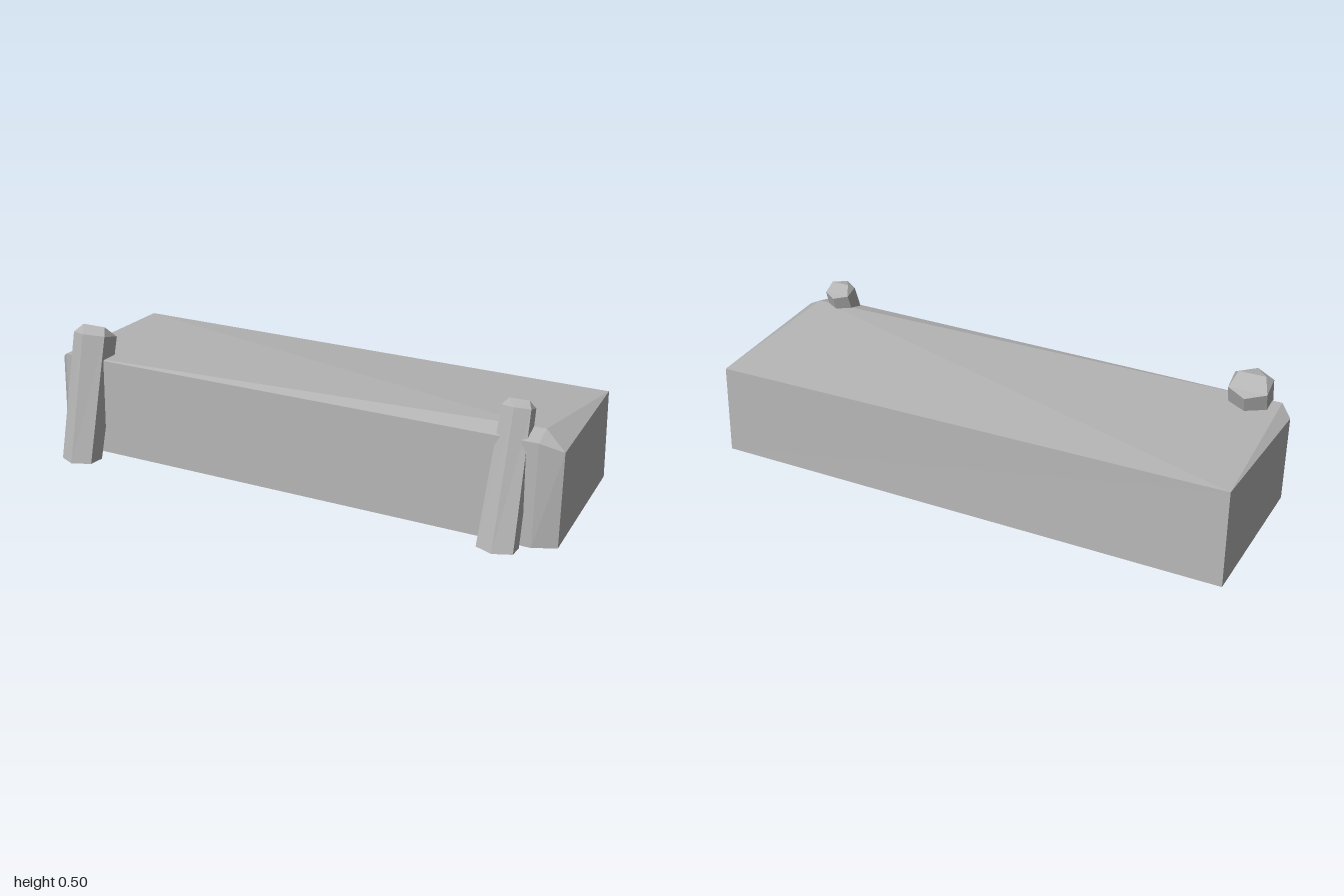
import * as THREE from 'three';

const stone = new THREE.MeshStandardMaterial({ color: 0xb4b4b4 });
stone.name = 'grey';

// Joins a bottom and a top ring (counter-clockwise from above) with walls,
// closes the base, and caps the top with the given polygons.
function loft(name, bottom, top, caps) {
  const pos = [];
  const polygon = (pts) => {
    for (let i = 1; i < pts.length - 1; i++) pos.push(...pts[0], ...pts[i], ...pts[i + 1]);
  };
  bottom.forEach((b, i) => {
    const j = (i + 1) % bottom.length;
    polygon([b, bottom[j], top[j], top[i]]);
  });
  polygon([...bottom].reverse());
  caps.forEach(polygon);
  const geometry = new THREE.BufferGeometry();
  geometry.setAttribute('position', new THREE.Float32BufferAttribute(pos, 3));
  geometry.computeVertexNormals();
  const mesh = new THREE.Mesh(geometry, stone);
  mesh.name = name;
  return mesh;
}

// Rough-cut block with chamfered front corners and an uneven top
function createBlock() {
  const y = 0.02;
  const bottom = [
    [0.92, y, 0.267], [1, y, 0.23], [0.985, y, -0.39],
    [-0.965, y, -0.382], [-1, y, 0.205], [-0.955, y, 0.25],
  ];
  const top = [
    [0.92, 0.39, 0.257], [1, 0.362, 0.228], [0.98, 0.362, -0.373],
    [-0.955, 0.38, -0.362], [-0.998, 0.358, 0.195], [-0.955, 0.388, 0.238],
  ];
  const [frontLeft, endLeft, backLeft, backRight, endRight, frontRight] = top;
  const peak = [0.92, 0.413, 0.18];
  return loft('block', bottom, top, [
    [frontLeft, endLeft, peak],
    [endLeft, backLeft, peak],
    [backLeft, backRight, peak],
    [backRight, frontRight, peak],
    [frontRight, frontLeft, peak],
    [backRight, endRight, frontRight],
  ]);
}

// Six-sided ring; front and back are [y, z] of the end corners
function hexRing(x, halfWidth, front, back) {
  const at = (side, t) => [
    x + side * halfWidth,
    THREE.MathUtils.lerp(front[0], back[0], t),
    THREE.MathUtils.lerp(front[1], back[1], t),
  ];
  return [at(0, 0), at(1, 0.25), at(1, 0.75), at(0, 1), at(-1, 0.75), at(-1, 0.25)];
}

// Leaning post with a ridged cap
function createPost(name, x, base, head) {
  const bottom = hexRing(x, base.halfWidth, base.front, base.back);
  const top = hexRing(x, head.halfWidth, head.front, head.back);
  const [front, fl, bl, back, br, fr] = top;
  const ridgeL = [x + head.halfWidth * 0.7, 0.503, 0.19];
  const ridgeR = [x - head.halfWidth * 0.7, 0.503, 0.19];
  return loft(name, bottom, top, [
    [front, fl, ridgeL, ridgeR, fr],
    [bl, back, br, ridgeR, ridgeL],
    [fl, bl, ridgeL],
    [br, fr, ridgeR],
  ]);
}

export function createModel() {
  const model = new THREE.Group();
  model.name = 'blockWithPosts';
  model.add(
    createBlock(),
    createPost('rightPost', -0.85,
      { halfWidth: 0.066, front: [0.012, 0.388], back: [0.001, 0.25] },
      { halfWidth: 0.07, front: [0.49, 0.263], back: [0.445, 0.108] }),
    createPost('leftPost', 0.825,
      { halfWidth: 0.064, front: [0.034, 0.39], back: [0.025, 0.268] },
      { halfWidth: 0.05, front: [0.492, 0.242], back: [0.46, 0.134] }),
  );
  return model;
}
